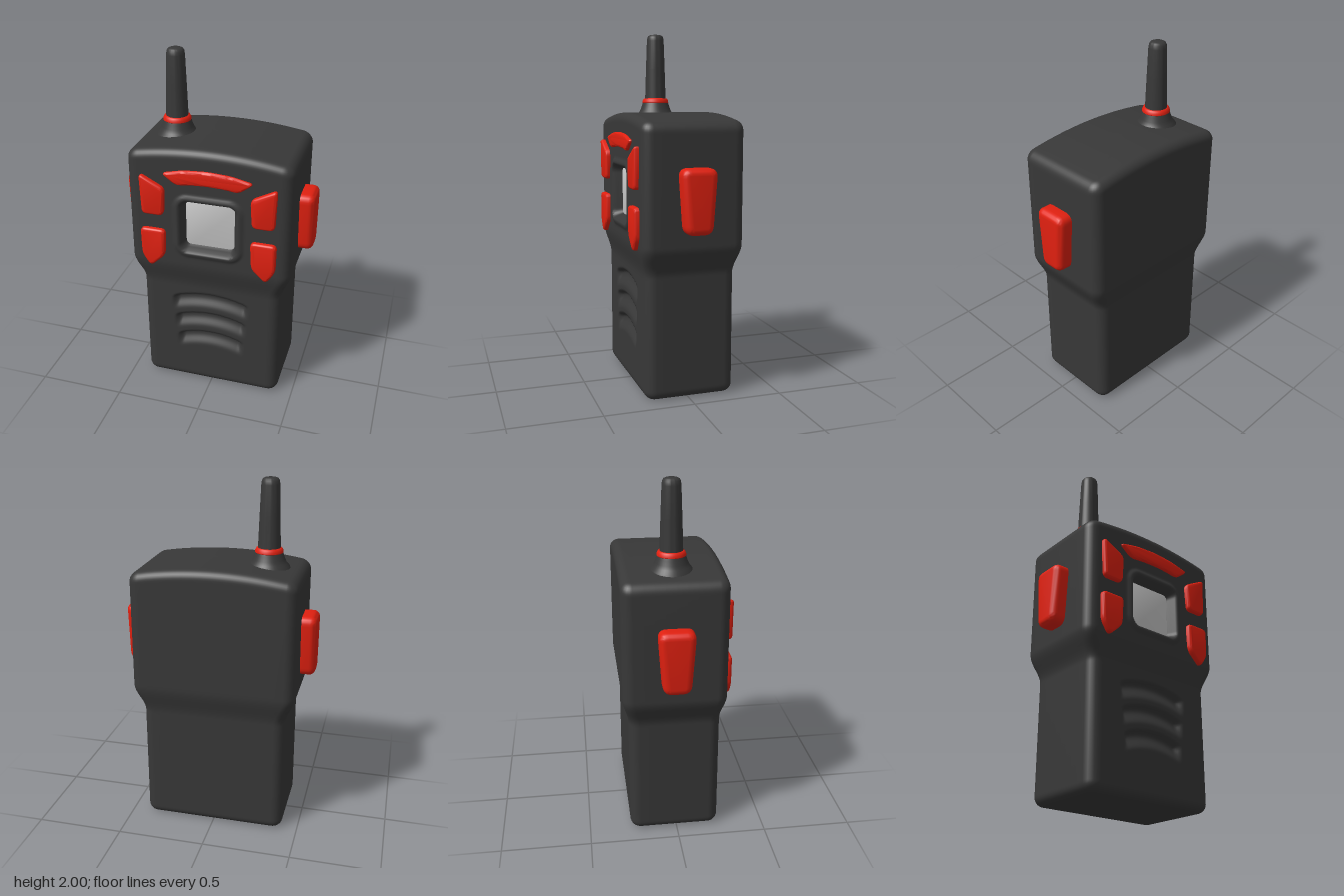
import * as THREE from 'three';
import { toCreasedNormals } from 'three/addons/utils/BufferGeometryUtils.js';

const dark = new THREE.MeshStandardMaterial({ color: 0x383838 });
const red = new THREE.MeshStandardMaterial({ color: 0xe02010 });
const grey = new THREE.MeshStandardMaterial({ color: 0xcccccc });

const HEIGHT = 1.548, ROUND = 0.05, FRONT = 0.272;
const smooth = (a, b, v) => THREE.MathUtils.smoothstep(v, a, b);
const mix = THREE.MathUtils.lerp;

// Signed distance to the rounded screen opening
function screenDistance(x, y) {
  const r = 0.05;
  const dx = Math.abs(x) - 0.165 + r, dy = Math.abs(y - 1.093) - 0.16 + r;
  return Math.hypot(Math.max(dx, 0), Math.max(dy, 0)) + Math.min(Math.max(dx, dy), 0) - r;
}

// Height of the front relief: raised screen frame, screen recess, speaker grooves
function relief(x, y) {
  const d = screenDistance(x, y);
  let z = 0.011 * smooth(0.04, 0.015, d) * (d < 0.04 ? 1 : 0);
  if (d < 0.04) z = 0.011 * (1 - smooth(0.015, 0.04, d));
  z -= 0.07 * (1 - smooth(-0.035, 0.004, d));
  for (const [top, half] of [[0.645, 0.235], [0.512, 0.222], [0.378, 0.208]]) {
    const t = (top - 0.045 * (x / half) ** 2 - y) / 0.11;
    z -= 0.03 * smooth(0, 0.22, t) * (1 - smooth(0.3, 1, t)) * smooth(0, 0.045, half - Math.abs(x));
  }
  return z;
}

// One rounded-rectangle ring of the body, counter-clockwise from above
function ring(y, inset, scale) {
  const k = smooth(0.68, 0.85, y);
  const w = mix(0.41, 0.463, k) - inset;
  const zf = mix(0.242, FRONT, k) - inset, zb = mix(-0.265, -0.297, k) + inset;
  const r = Math.max(0.06 - inset, 0.005);
  const corners = [[w - r, zf - r, 90], [w - r, zb + r, 0], [-w + r, zb + r, -90], [-w + r, zf - r, -180]];
  const sides = [8, 16, 8, 86];
  const pts = [];
  corners.forEach(([cx, cz, start], c) => {
    for (let i = 0; i <= 6; i++) {
      const a = THREE.MathUtils.degToRad(start - i * 15);
      pts.push([cx + r * Math.cos(a), cz + r * Math.sin(a)]);
    }
    // straight run to the start of the next corner
    const [nx, nz, ns] = corners[(c + 1) % 4];
    const a = THREE.MathUtils.degToRad(ns);
    const end = [nx + r * Math.cos(a), nz + r * Math.sin(a)];
    const from = pts[pts.length - 1];
    for (let i = 1; i < sides[c]; i++) {
      const t = i / sides[c];
      pts.push([mix(from[0], end[0], t), mix(from[1], end[1], t)]);
    }
  });
  const mid = (zf + zb) / 2;
  return pts.map(([x, z]) => {
    const onFront = z > zf - 0.001 && inset === 0;
    const px = x * scale;
    const drop = 0.045 * (px / 0.46) ** 2 * smooth(1.3, 1.5, y);
    return [px, y - drop, mid + (z - mid) * scale + (onFront ? relief(x, y) : 0)];
  });
}

function bodyGeometry() {
  const rows = [];
  for (const s of [0.001, 0.3, 0.6, 0.9]) rows.push(ring(0, ROUND, s));
  for (let i = 0; i < 8; i++) {
    const a = (i / 8) * Math.PI / 2;
    rows.push(ring(ROUND * (1 - Math.cos(a)), ROUND * (1 - Math.sin(a)), 1));
  }
  const n = 148;
  for (let i = 0; i <= n; i++) rows.push(ring(mix(ROUND, HEIGHT - ROUND, i / n), 0, 1));
  for (let i = 1; i <= 8; i++) {
    const a = (i / 8) * Math.PI / 2;
    rows.push(ring(HEIGHT - ROUND + ROUND * Math.sin(a), ROUND * (1 - Math.cos(a)), 1));
  }
  for (const s of [0.9, 0.75, 0.6, 0.45, 0.3, 0.15, 0.001]) rows.push(ring(HEIGHT, ROUND, s));

  const m = rows[0].length, index = [];
  for (let j = 0; j < rows.length - 1; j++) {
    for (let i = 0; i < m; i++) {
      const a = j * m + i, b = j * m + (i + 1) % m;
      index.push(a, b, b + m, a, b + m, a + m);
    }
  }
  const g = new THREE.BufferGeometry();
  g.setAttribute('position', new THREE.Float32BufferAttribute(rows.flat(2), 3));
  g.setIndex(index);
  g.computeVertexNormals();
  return g;
}

// Closed polygon with softened corners
function softShape(points, radius) {
  const p = points.map(([x, y]) => new THREE.Vector2(x, y));
  const shape = new THREE.Shape();
  p.forEach((c, i) => {
    const a = p[(i + p.length - 1) % p.length], b = p[(i + 1) % p.length];
    const toward = q => c.clone().lerp(q, Math.min(0.45, radius / c.distanceTo(q)));
    const s = toward(a), e = toward(b);
    if (i === 0) shape.moveTo(s.x, s.y); else shape.lineTo(s.x, s.y);
    shape.quadraticCurveTo(c.x, c.y, e.x, e.y);
  });
  shape.closePath();
  return shape;
}

// Pad with rounded rim, standing from z = 0 to z = depth
function padGeometry(points, radius, depth, bevel) {
  const g = new THREE.ExtrudeGeometry(softShape(points, radius), {
    depth: depth - 2 * bevel, bevelThickness: bevel, bevelSize: bevel,
    bevelOffset: -bevel, bevelSegments: 5, curveSegments: 6,
  });
  g.translate(0, 0, bevel);
  return toCreasedNormals(g, 0.7);
}

export function createModel() {
  const group = new THREE.Group();
  const add = (name, geometry, material, x = 0, y = 0, z = 0) => {
    const mesh = new THREE.Mesh(geometry, material);
    mesh.name = name;
    mesh.position.set(x, y, z);
    group.add(mesh);
    return mesh;
  };

  add('body', bodyGeometry(), dark);

  // Screen, sunk into its frame
  const sx = 0.152, sy = 0.148;
  add('screen', padGeometry([[-sx, -sy], [sx, -sy], [sx, sy], [-sx, sy]], 0.03, 0.01, 0.001),
    grey, 0, 1.093, FRONT - 0.058);

  // Front buttons, mirrored left and right
  const upper = [[0.25, 1.15], [0.375, 1.15], [0.384, 1.39], [0.24, 1.315]];
  const lower = [[0.25, 0.895], [0.335, 0.815], [0.385, 0.89], [0.388, 1.06], [0.242, 1.06]];
  for (const [side, s] of [['left', 1], ['right', -1]]) {
    const flip = pts => {
      const q = pts.map(([x, y]) => [x * s, y]);
      return s < 0 ? q.reverse() : q;
    };
    add(side + 'UpperButton', padGeometry(flip(upper), 0.03, 0.06, 0.016), red, 0, 0, 0.24);
    add(side + 'LowerButton', padGeometry(flip(lower), 0.03, 0.06, 0.016), red, 0, 0, 0.24);

    // Tapered grip button on the flank
    const grip = [[-0.075, -0.175], [0.075, -0.175], [0.1, 0.175], [-0.1, 0.175]];
    const mesh = add(side + 'SideButton', padGeometry(grip, 0.05, 0.125, 0.035), red, s * 0.42, 1.095, -0.015);
    mesh.rotation.y = s * Math.PI / 2;
  }

  // Arched button above the screen
  const arch = [[-0.175, 1.342], [-0.09, 1.353], [0, 1.357], [0.09, 1.353], [0.175, 1.342], [0.258, 1.405],
    [0.13, 1.433], [0, 1.441], [-0.13, 1.433], [-0.258, 1.405]];
  add('topButton', padGeometry(arch, 0.03, 0.05, 0.014), red, 0, 0, 0.24);

  // Antenna: flared base, collar and tapered rod
  const lathe = pts => toCreasedNormals(
    new THREE.LatheGeometry(pts.map(([r, y]) => new THREE.Vector2(r, y)), 40), 0.7);
  const ax = -0.26, az = -0.015;
  add('antennaBase', lathe([[0.125, 1.5], [0.112, 1.53], [0.098, 1.545], [0.088, 1.565], [0.08, 1.59], [0.074, 1.605], [0, 1.605]]),
    dark, ax, 0, az);
  add('antennaCollar', lathe([[0, 1.598], [0.073, 1.598], [0.078, 1.603], [0.077, 1.612], [0.071, 1.624], [0.064, 1.628], [0, 1.628]]),
    red, ax, 0, az);
  add('antennaRod', lathe([[0.062, 1.615], [0.056, 1.8], [0.05, 1.965], [0.047, 1.985], [0.041, 1.995], [0.03, 2], [0, 2]]),
    dark, ax, 0, az);

  return group;
}
